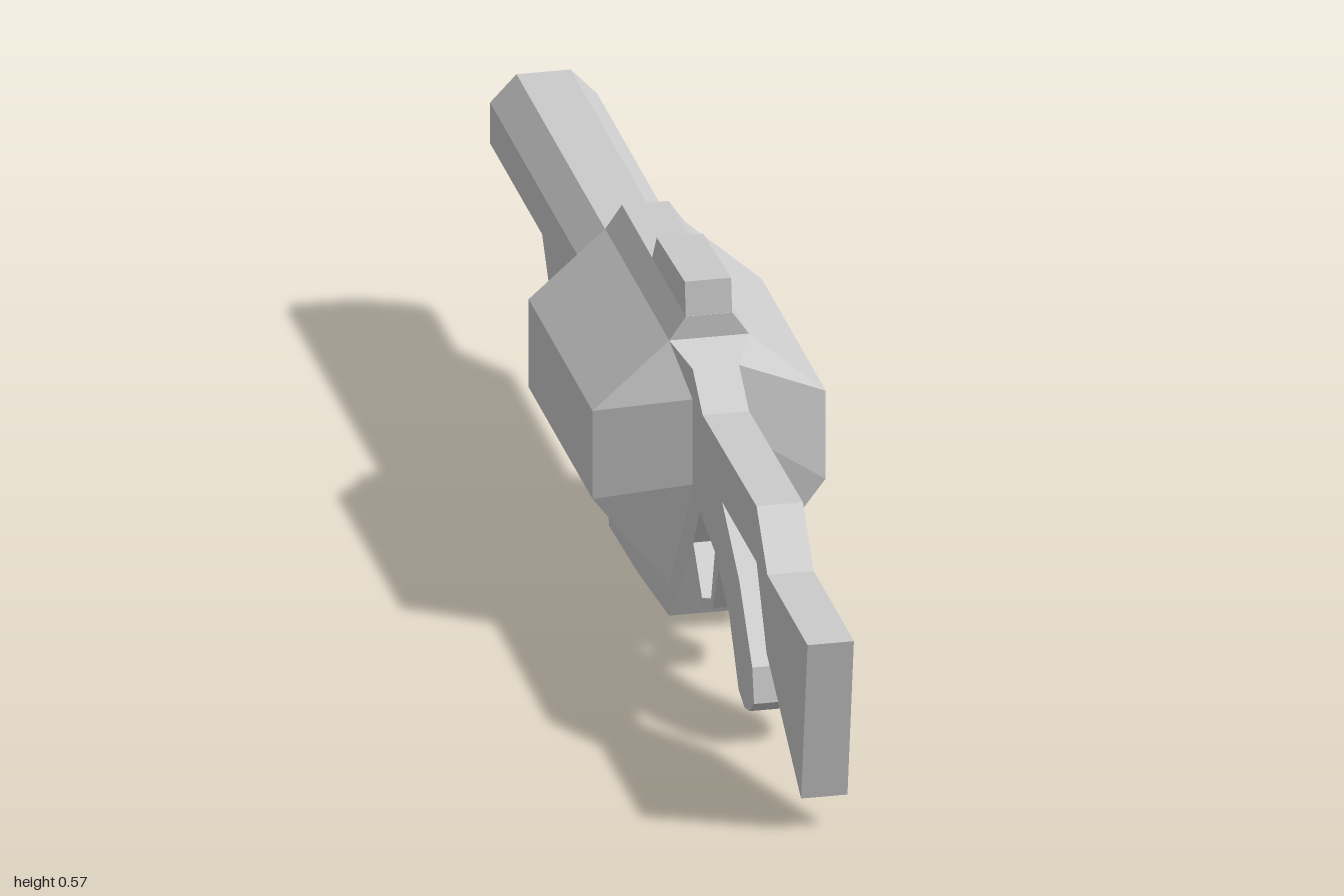
import * as THREE from 'three';

const material = new THREE.MeshStandardMaterial({
  color: 0xcccccc, flatShading: true, side: THREE.DoubleSide,
});

function part(name, geometry) {
  const mesh = new THREE.Mesh(geometry, material);
  mesh.name = name;
  return mesh;
}

const toPoints = (list) => list.map(([u, v]) => new THREE.Vector2(u, v));

// Side profile of [z, y] points, given a thickness across x
function slab(name, profile, halfWidth, holes = []) {
  const shape = new THREE.Shape(toPoints(profile));
  shape.holes = holes.map((h) => new THREE.Path(toPoints(h)));
  const geo = new THREE.ExtrudeGeometry(shape, { depth: halfWidth * 2, bevelEnabled: false });
  geo.translate(0, 0, -halfWidth);
  geo.rotateY(-Math.PI / 2);
  return part(name, geo);
}

// Cross-section of half-profile [x, y] points (top to bottom), mirrored, run along z
function prism(name, half, zBack, zFront) {
  const mirrored = half.map(([x, y]) => [-x, y]).reverse();
  const shape = new THREE.Shape(toPoints([...half, ...mirrored]));
  const geo = new THREE.ExtrudeGeometry(shape, { depth: zFront - zBack, bevelEnabled: false });
  geo.translate(0, 0, zBack);
  return part(name, geo);
}

// Skin over mirrored half-sections of [x, y, z], ordered from +z to -z
function loft(name, sections) {
  const pos = [];
  const quad = (a, b, c, d) => pos.push(...a, ...b, ...c, ...a, ...c, ...d);
  const flip = ([x, y, z]) => [-x, y, z];
  const rings = sections.map((s) => [...s, ...s.map(flip).reverse()]);
  for (let i = 0; i < rings.length - 1; i++) {
    const n = rings[i].length;
    for (let j = 0; j < n; j++) {
      const k = (j + 1) % n;
      quad(rings[i][j], rings[i][k], rings[i + 1][k], rings[i + 1][j]);
    }
  }
  const first = sections[0], last = sections[sections.length - 1];
  for (let j = 0; j < first.length - 1; j++) {
    quad(first[j], flip(first[j]), flip(first[j + 1]), first[j + 1]);
    quad(last[j], last[j + 1], flip(last[j + 1]), flip(last[j]));
  }
  const geo = new THREE.BufferGeometry();
  geo.setAttribute('position', new THREE.Float32BufferAttribute(pos, 3));
  geo.computeVertexNormals();
  return part(name, geo);
}

export function createModel() {
  const group = new THREE.Group();
  group.name = 'drumLauncher';

  // Faceted drum housing with keel, tapering to a narrow neck at each end
  const drum = (z, keel) =>
    [[0.062, 0.48, z], [0.181, 0.375, z], [0.181, 0.23, z], [0.062, 0.075, z], [0.062, keel, z]];
  group.add(loft('drumHousing', [
    [0.45, 0.4, 0.34, 0.26, 0.15].map((y) => [0.036, y, 0.2]),
    drum(0.153, 0.027),
    drum(-0.06, 0.008),
    drum(-0.265, 0.002),
    drum(-0.292, 0.074),
    [[0.036, 0.445, -0.35], [0.036, 0.4, -0.35], [0.036, 0.34, -0.35],
      [0.036, 0.27, -0.348], [0.036, 0.22, -0.322]],
  ]));

  // Raised strip along the top of the drum, and the sight block on it
  group.add(prism('topStrip', [[0.036, 0.517], [0.062, 0.48]], -0.292, 0.153));
  group.add(slab('sightBlock',
    [[0.153, 0.51], [0.145, 0.571], [-0.05, 0.563], [-0.082, 0.517], [-0.082, 0.51]], 0.036));

  // Eight-sided barrel
  group.add(prism('barrel',
    [[0.042, 0.44], [0.083, 0.397], [0.083, 0.33], [0.042, 0.265]], -1, -0.3));

  // Fore grip under the barrel
  group.add(slab('foreGrip',
    [[-0.348, 0.29], [-0.348, 0.167], [-0.795, 0.167], [-0.868, 0.265], [-0.868, 0.29]], 0.036));

  // Shoulder stock, pistol grip and trigger guard in one outline
  const guardOpening = [[0.355, 0.213], [0.25, 0.236], [0.204, 0.166], [0.265, 0.1], [0.328, 0.125]];
  group.add(slab('stockAndGrip', [
    [0.18, 0.45], [0.2, 0.45], [0.27, 0.403], [0.645, 0.408], [0.72, 0.326], [1, 0.326],
    [0.955, 0.055], [0.715, 0.195], [0.645, 0.316], [0.405, 0.316],
    [0.525, 0.235], [0.615, 0.13], [0.627, 0.075], [0.595, 0.05], [0.56, 0.042], [0.52, 0.055],
    [0.455, 0.15], [0.383, 0.197], [0.338, 0.113], [0.265, 0.087], [0.2, 0.15], [0.18, 0.17],
  ], 0.036, [guardOpening]));

  return group;
}
